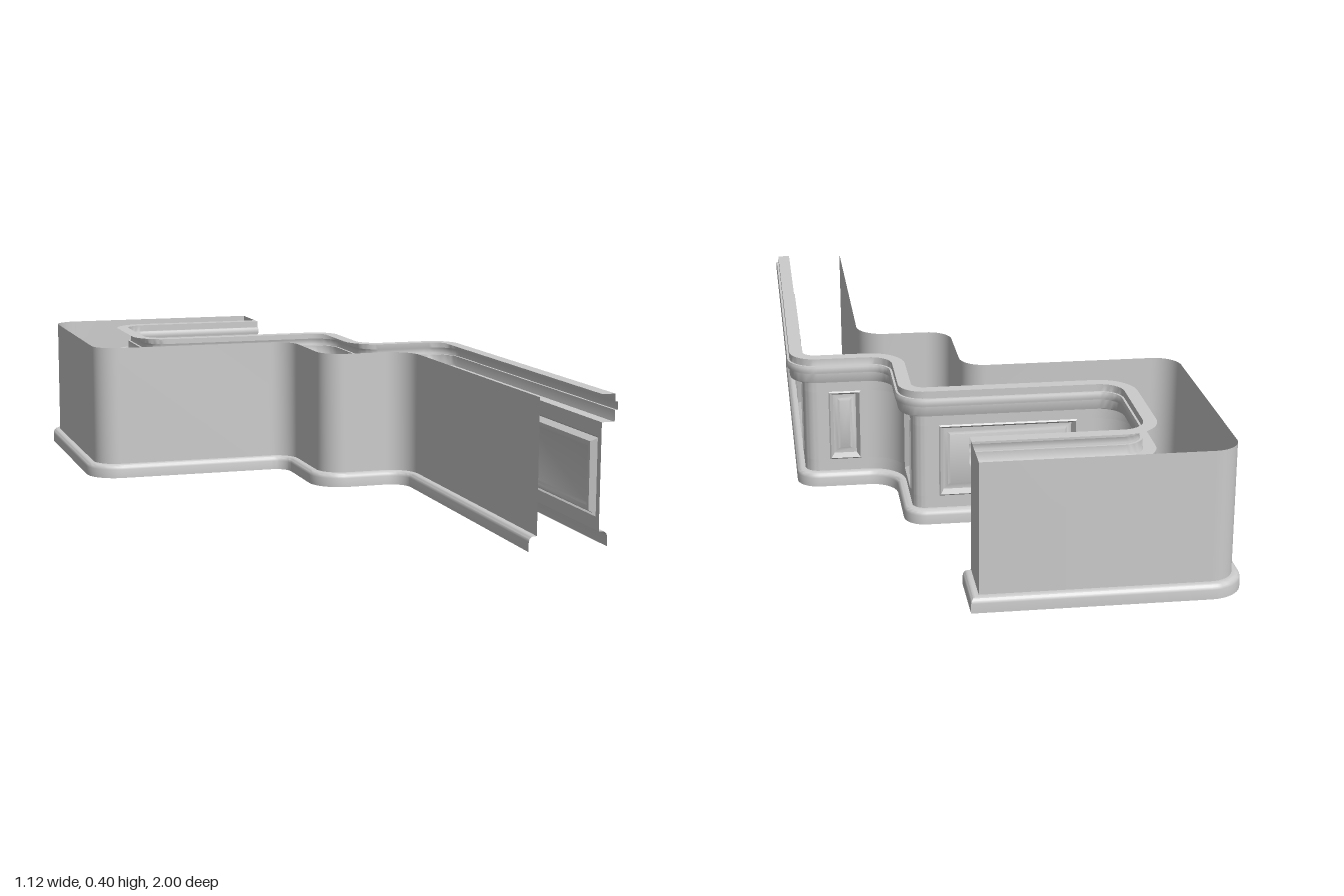
import * as THREE from 'three';
import { toCreasedNormals } from 'three/addons/utils/BufferGeometryUtils.js';

const material = new THREE.MeshStandardMaterial({ color: 0xcccccc, side: THREE.DoubleSide });

// Grid of points (rows x columns) turned into a creased surface
function gridGeometry(rows) {
  const cols = rows[0].length;
  const index = [];
  for (let i = 0; i < rows.length - 1; i++) {
    for (let j = 0; j < cols - 1; j++) {
      const a = i * cols + j, b = a + cols;
      index.push(a, b, a + 1, b, b + 1, a + 1);
    }
  }
  const geometry = new THREE.BufferGeometry();
  geometry.setAttribute('position', new THREE.Float32BufferAttribute(rows.flat(2), 3));
  geometry.setIndex(index);
  return toCreasedNormals(geometry, 0.6);
}

// Right-angled floor path with rounded corners [x, z, radius].
// side (+1 or -1) picks the outward side; panels are [leg, start, end].
// Returns runs of { x, z, nx, nz }, broken wherever a panel sits.
function makePath(corners, side, panels = []) {
  const legs = corners.slice(1).map(([x, z], i) => {
    const dx = Math.sign(x - corners[i][0]), dz = Math.sign(z - corners[i][1]);
    return { dx, dz, nx: side * dz, nz: -side * dx };
  });
  const runs = [[]];
  const add = (x, z, nx, nz) => runs[runs.length - 1].push({ x, z, nx, nz });
  add(corners[0][0], corners[0][1], legs[0].nx, legs[0].nz);
  legs.forEach((leg, i) => {
    // Panel gaps along this leg
    for (const [, start, end] of panels.filter((p) => p[0] === i)) {
      const at = (v) => (leg.dx ? [v, corners[i][1]] : [corners[i][0], v]);
      add(...at(start), leg.nx, leg.nz);
      runs.push([]);
      add(...at(end), leg.nx, leg.nz);
    }
    const [x, z, r] = corners[i + 1];
    const next = legs[i + 1];
    if (!next) {
      add(x, z, leg.nx, leg.nz);
    } else if (!r) {
      add(x, z, leg.nx + next.nx, leg.nz + next.nz);
    } else {
      // Rounded corner
      const cx = x - leg.dx * r + next.dx * r, cz = z - leg.dz * r + next.dz * r;
      const s = -r * (next.dx * leg.nx + next.dz * leg.nz);
      for (let k = 0; k <= 10; k++) {
        const t = (k / 10) * Math.PI / 2, c = Math.cos(t), q = Math.sin(t);
        const nx = c * leg.nx + q * next.nx, nz = c * leg.nz + q * next.nz;
        add(cx + s * nx, cz + s * nz, nx, nz);
      }
    }
  });
  return runs;
}

// Sweep a profile of [outward offset, height] along a run
function sweep(run, profile) {
  return gridGeometry(run.map((p) =>
    profile.map(([o, y]) => [p.x + p.nx * o, y, p.z + p.nz * o])));
}

// Sunken panel with mitred bevels and a slightly raised field
function panelGeometry(a, b, low, high) {
  const length = Math.hypot(b.x - a.x, b.z - a.z);
  const dx = (b.x - a.x) / length, dz = (b.z - a.z) / length;
  const steps = [[0, 0], [0.004, 0.004], [0.014, -0.014], [0.026, -0.014], [0.032, -0.010]];
  const rings = steps.map(([inset, depth]) => {
    const point = (u, y) =>
      [a.x + dx * u + a.nx * depth, y, a.z + dz * u + a.nz * depth];
    const u0 = inset, u1 = length - inset, y0 = low + inset, y1 = high - inset;
    return [point(u0, y0), point(u1, y0), point(u1, y1), point(u0, y1), point(u0, y0)];
  });
  // Close the field by collapsing the last ring to its centre
  const last = rings[rings.length - 1];
  const centre = last[0].map((v, i) => (v + last[2][i]) / 2);
  rings.push(last.map(() => centre));
  return gridGeometry(rings);
}

export function createModel() {
  const model = new THREE.Group();
  model.name = 'counter';
  const add = (parent, name, geometry) => {
    const mesh = new THREE.Mesh(geometry, material);
    mesh.name = name;
    parent.add(mesh);
  };
  const plinthProfile = (w) => [
    [w, 0], [w, 0.026], [w * 0.92, 0.033], [w * 0.72, 0.038], [w * 0.45, 0.04], [0, 0.04],
  ];

  // Plain outer side with its short end return
  const plainSide = new THREE.Group();
  plainSide.name = 'plainSide';
  model.add(plainSide);
  const plainRun = makePath([
    [0.125, -0.83], [0.125, -0.978, 0], [-0.538, -0.978, 0.07], [-0.538, -0.245, 0.07],
    [0.075, -0.245, 0.07], [0.075, 0.08, 0.07], [0.344, 0.08, 0.08], [0.344, 1],
  ], -1).flat();
  add(plainSide, 'plainWall', sweep(plainRun, [[0, 0.04], [0, 0.395]]));
  add(plainSide, 'plainPlinth', sweep(plainRun, plinthProfile(0.022)));

  // Panelled side
  const panelledSide = new THREE.Group();
  panelledSide.name = 'panelledSide';
  model.add(panelledSide);
  const low = 0.075, high = 0.283;
  const runs = makePath([
    [0.125, -0.838], [-0.37, -0.838, 0.1], [-0.37, -0.412, 0.1], [0.232, -0.412, 0.035],
    [0.232, -0.097, 0.1], [0.516, -0.097, 0.04], [0.516, 1],
  ], 1, [
    [0, 0.075, -0.22], [1, -0.705, -0.535], [2, -0.225, 0.16], [3, -0.355, -0.195],
    [4, 0.352, 0.445], [5, -0.01, 0.395], [5, 0.44, 0.525], [5, 0.567, 0.98],
  ]);
  const fullRun = runs.flat();
  add(panelledSide, 'panelledPlinth', sweep(fullRun, plinthProfile(0.024)));
  add(panelledSide, 'lowerWall', sweep(fullRun, [[0, 0.04], [0, low]]));
  add(panelledSide, 'upperWall', sweep(fullRun, [[0, high], [0, 0.323]]));
  runs.forEach((run, i) => {
    add(panelledSide, 'wallBetweenPanels', sweep(run, [[0, low], [0, high]]));
    if (i > 0) {
      const before = runs[i - 1];
      add(panelledSide, 'panel', panelGeometry(before[before.length - 1], run[0], low, high));
    }
  });

  // Stepped cornice with a projecting rail
  add(panelledSide, 'cornice', sweep(fullRun, [
    [0, 0.323], [0.034, 0.323], [0.036, 0.327], [0.036, 0.353], [0.043, 0.353],
    [0.044, 0.357], [0.044, 0.371], [0.042, 0.375], [0.036, 0.375], [0.036, 0.395], [0, 0.395],
  ]));
  return model;
}
